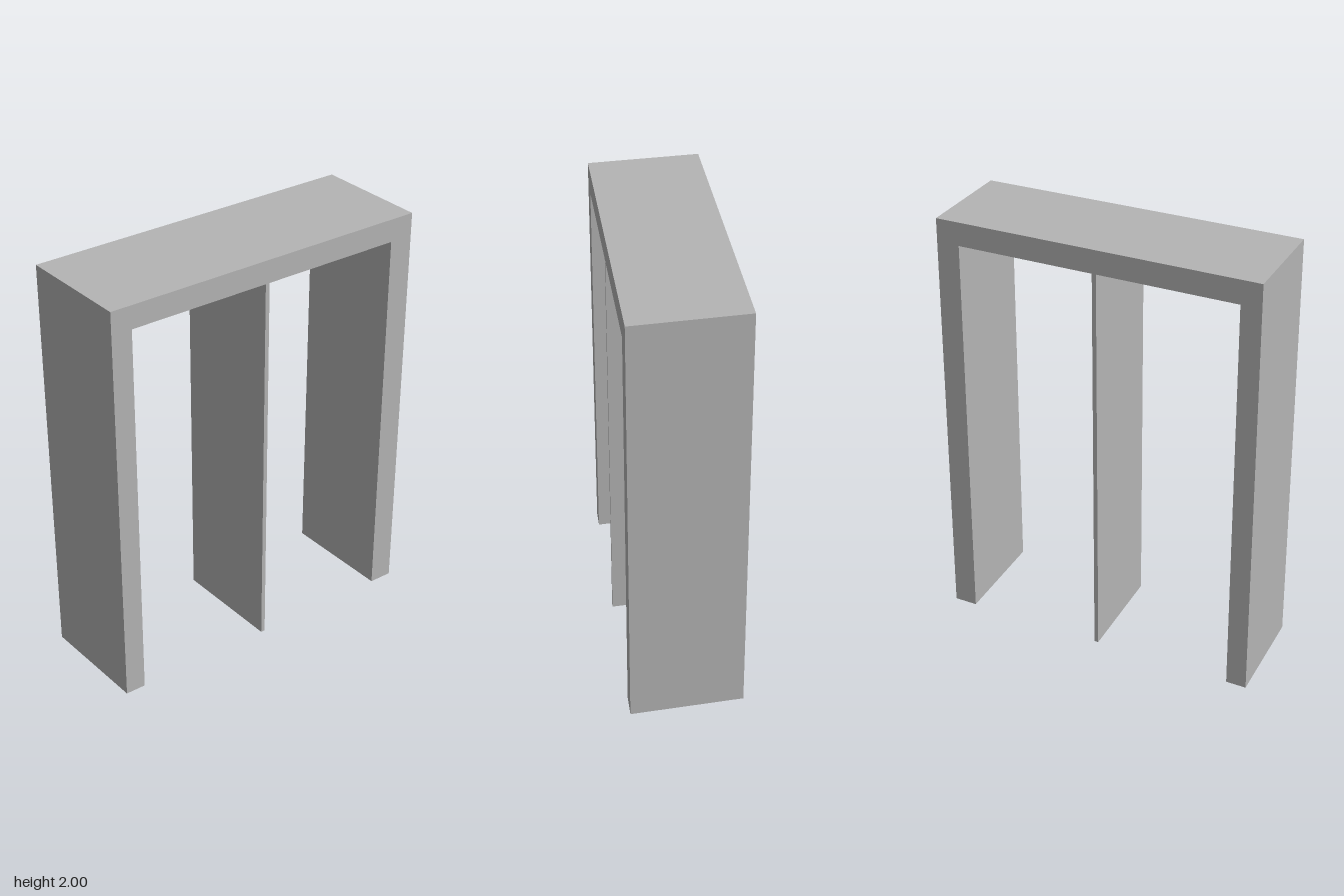
import * as THREE from 'three';

const HALF_W = 0.78, HALF_D = 0.261, TOP = 2, BEAM_Y = 1.89;

// Skew the plan into a slight parallelogram
function skew(geometry) {
  const p = geometry.attributes.position;
  for (let i = 0; i < p.count; i++) {
    const x = p.getX(i), z = p.getZ(i);
    p.setX(i, x + z * 0.087);
    p.setZ(i, z - x * 0.0125);
  }
  geometry.computeVertexNormals();
  return geometry;
}

// Extrude a front outline through the full depth
function slab(name, points, material) {
  const shape = new THREE.Shape(points.map(([x, y]) => new THREE.Vector2(x, y)));
  const geometry = new THREE.ExtrudeGeometry(shape, { depth: HALF_D * 2, bevelEnabled: false });
  geometry.translate(0, 0, -HALF_D);
  const mesh = new THREE.Mesh(skew(geometry), material);
  mesh.name = name;
  return mesh;
}

export function createModel() {
  const group = new THREE.Group();
  group.name = 'portalFrame';
  const grey = new THREE.MeshStandardMaterial({ color: 0xb4b4b4 });
  grey.name = 'grey';

  // Two side legs joined by the top beam
  group.add(slab('legsAndBeam', [
    [-HALF_W, 0], [-0.683, 0], [-0.683, BEAM_Y], [0.668, BEAM_Y],
    [0.668, 0], [HALF_W, 0], [HALF_W, TOP], [-HALF_W, TOP],
  ], grey));

  // Thin upright panel in the middle
  group.add(slab('middlePanel', [
    [-0.016, 0], [0.004, 0], [0.004, BEAM_Y], [-0.016, BEAM_Y],
  ], grey));

  return group;
}
